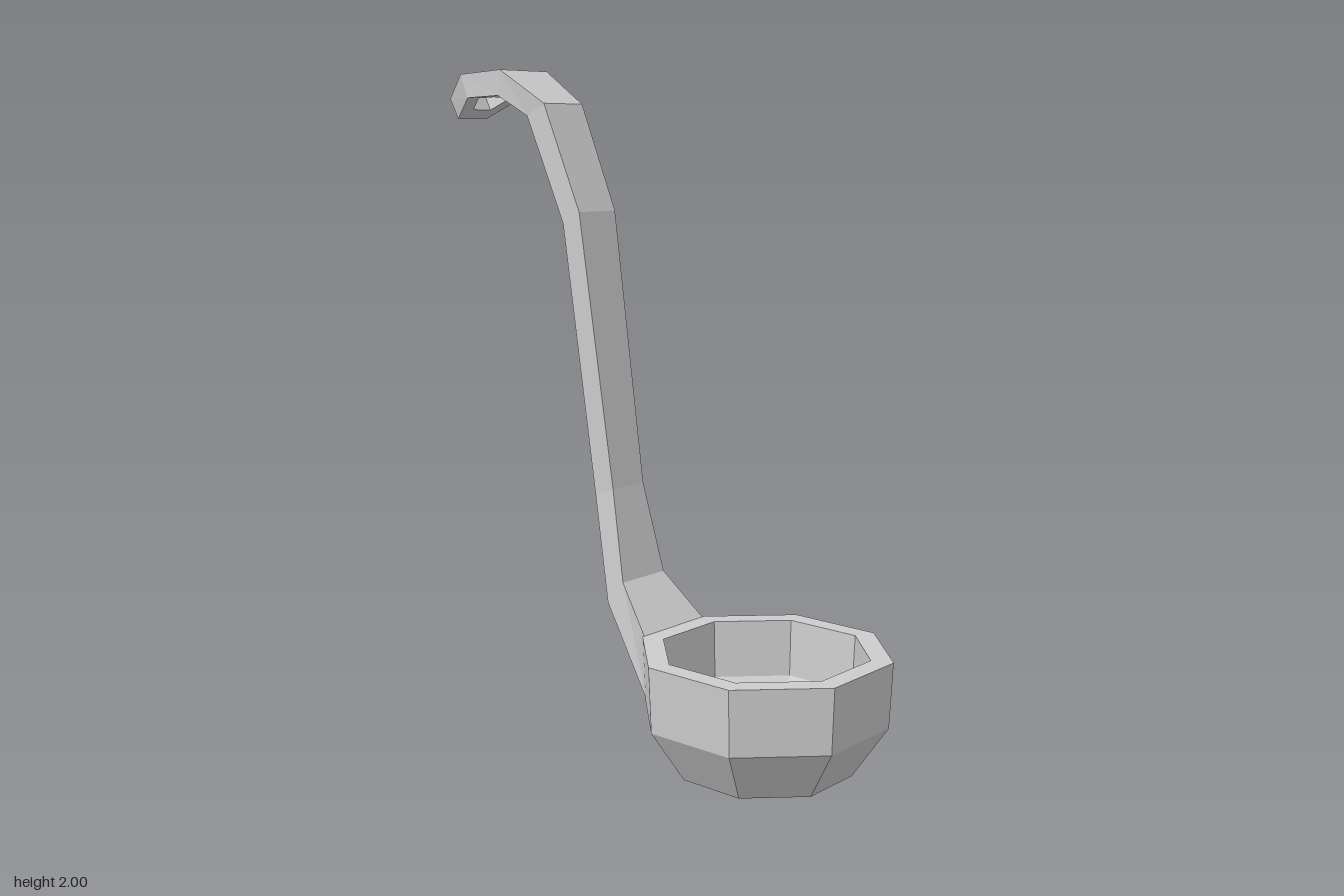
import * as THREE from 'three';

const steel = new THREE.MeshStandardMaterial({ color: 0xcccccc, flatShading: true });
steel.name = 'steel grey';

// Skin a row of four-cornered cross-sections; ring = true joins the last to the first.
function loft(sections, ring) {
  const pos = [];
  const count = sections.length;
  for (let i = 0; i < (ring ? count : count - 1); i++) {
    const s = sections[i], t = sections[(i + 1) % count];
    for (let j = 0; j < 4; j++) {
      const k = (j + 1) % 4;
      pos.push(...s[j], ...s[k], ...t[k], ...s[j], ...t[k], ...t[j]);
    }
  }
  const geo = new THREE.BufferGeometry();
  geo.setAttribute('position', new THREE.Float32BufferAttribute(pos, 3));
  geo.computeVertexNormals();
  return geo;
}

function addPart(group, name, geometry) {
  const mesh = new THREE.Mesh(geometry, steel);
  mesh.name = name;
  group.add(mesh);
  return mesh;
}

export function createModel() {
  const model = new THREE.Group();
  model.name = 'ladle';

  // Eight-sided bowl: outer wall up, across the rim, inner wall down.
  // Profile radii are measured to the flats.
  const profile = [
    [0, 0.005], [0.233, 0.06], [0.325, 0.21], [0.333, 0.397],
    [0.275, 0.397], [0.268, 0.23], [0.2, 0.115], [0, 0.065],
  ].map(([r, y]) => new THREE.Vector2(r / Math.cos(Math.PI / 8), y));
  const bowl = addPart(model, 'bowl', new THREE.LatheGeometry(profile, 8, Math.PI / 8));
  bowl.position.z = 0.432;

  // Handle stations: half width, front edge z and y, back edge z and y.
  const stations = [
    [0.13, 0.1, 0.395, 0.107, 0.21],
    [0.09, -0.02, 0.525, -0.08, 0.455],
    [0.066, -0.08, 0.79, -0.15, 0.765],
    [0.076, -0.2, 1.59, -0.265, 1.555],
    [0.08, -0.335, 1.9, -0.405, 1.865],
    [0.098, -0.5, 2.0, -0.51, 1.925],
  ];
  addPart(model, 'handle', loft(stations.map(([w, fz, fy, bz, by]) => [
    [-w, fy, fz], [w, fy, fz], [w, by, bz], [-w, by, bz],
  ]), false));

  // Hanging loop: outer and inner outline, each as x, top z and y, bottom z and y.
  const outer = [
    [0.098, -0.5, 2.0, -0.51, 1.925],
    [0.108, -0.66, 1.99, -0.63, 1.92],
    [0.058, -0.765, 1.92, -0.73, 1.86],
  ];
  const inner = [
    [0.055, -0.575, 1.995, -0.575, 1.922],
    [0.063, -0.65, 1.99, -0.63, 1.92],
    [0.035, -0.718, 1.951, -0.685, 1.887],
  ];
  const section = (i, side) => {
    const [ox, otz, oty, obz, oby] = outer[i];
    const [ix, itz, ity, ibz, iby] = inner[i];
    return [
      [side * ix, ity, itz], [side * ox, oty, otz],
      [side * ox, oby, obz], [side * ix, iby, ibz],
    ];
  };
  const loop = [0, 1, 2].map((i) => section(i, 1))
    .concat([2, 1, 0].map((i) => section(i, -1)));
  addPart(model, 'hangingLoop', loft(loop, true));

  return model;
}
